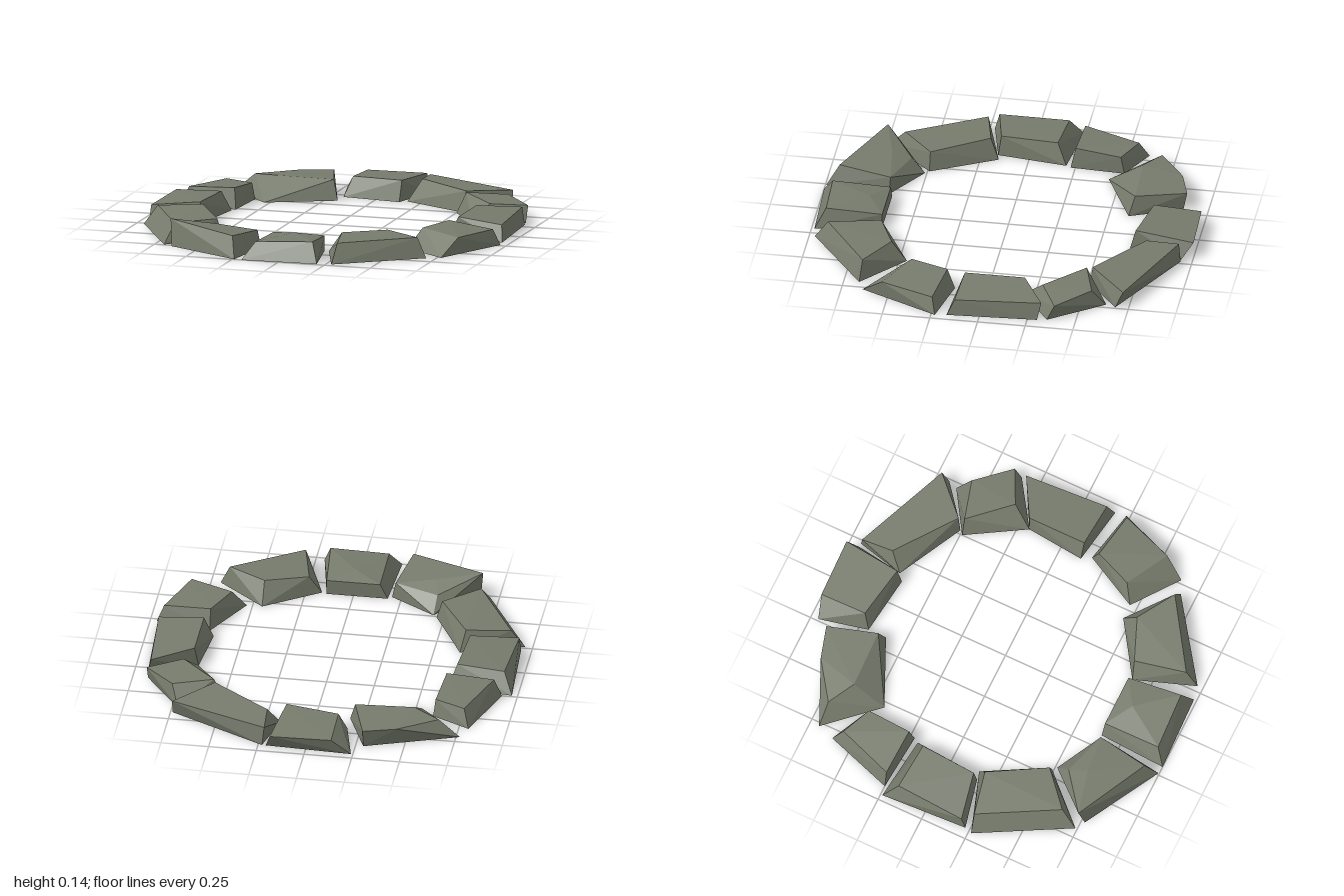
import * as THREE from 'three';
import { ConvexGeometry } from 'three/addons/geometries/ConvexGeometry.js';

const material = new THREE.MeshStandardMaterial({ color: 0x767b6c, flatShading: true });

export function createModel() {
  const ring = new THREE.Group();
  ring.name = 'stoneRing';

  // One rough-hewn block: a footprint on the ground, a top outline at the given
  // corner heights (both as x, z pairs), and optional chipped corner points.
  function stone(name, foot, top, heights, chips = []) {
    const points = chips.map((c) => new THREE.Vector3(...c));
    for (let i = 0; i < 4; i++) {
      points.push(new THREE.Vector3(foot[2 * i], 0, foot[2 * i + 1]));
      points.push(new THREE.Vector3(top[2 * i], heights[i], top[2 * i + 1]));
    }
    const mesh = new THREE.Mesh(new ConvexGeometry(points), material);
    mesh.name = name;
    ring.add(mesh);
  }

  // Back of the ring, then round by the left side
  stone('backStone',
    [-0.24, -0.96, 0.21, -0.94, 0.135, -0.66, -0.18, -0.7],
    [-0.14, -0.99, 0.18, -1, 0.14, -0.69, -0.14, -0.74], [0.09, 0.09, 0.11, 0.105]);
  stone('backLeftStone',
    [0.23, -0.94, 0.74, -0.68, 0.52, -0.51, 0.17, -0.69],
    [0.22, -0.93, 0.735, -0.72, 0.54, -0.53, 0.23, -0.76], [0.1, 0.09, 0.11, 0.11]);
  stone('leftBackStone',
    [0.72, -0.63, 0.92, -0.35, 0.68, -0.19, 0.5, -0.49],
    [0.76, -0.56, 0.92, -0.39, 0.74, -0.3, 0.55, -0.5], [0.1, 0.085, 0.1, 0.11]);
  stone('leftStone',
    [0.93, -0.3, 0.955, 0.17, 0.65, 0.12, 0.68, -0.19],
    [0.91, -0.32, 0.94, 0.13, 0.7, 0.115, 0.7, -0.2], [0.09, 0.085, 0.11, 0.11]);
  stone('leftFrontStone',
    [0.68, 0.17, 0.965, 0.23, 0.77, 0.64, 0.53, 0.46],
    [0.68, 0.21, 0.93, 0.25, 0.83, 0.53, 0.6, 0.41], [0.11, 0.085, 0.09, 0.105]);
  stone('frontLeftStone',
    [0.45, 0.46, 0.7, 0.67, 0.28, 0.97, 0.165, 0.65],
    [0.45, 0.54, 0.65, 0.66, 0.29, 0.9, 0.23, 0.63], [0.11, 0.105, 0.1, 0.1]);

  // Front of the ring, then round by the right side
  stone('frontStone',
    [-0.18, 0.64, 0.14, 0.64, 0.205, 0.985, -0.2, 1],
    [-0.14, 0.64, 0.14, 0.64, 0.165, 0.93, -0.14, 0.945], [0.08, 0.08, 0.105, 0.09],
    [[0, 0.105, 0.73]]);
  stone('frontRightStone',
    [-0.44, 0.51, -0.2, 0.66, -0.24, 0.995, -0.65, 0.77],
    [-0.45, 0.58, -0.22, 0.655, -0.27, 0.93, -0.665, 0.74], [0.08, 0.09, 0.11, 0.14],
    [[-0.43, 0.115, 0.68]]);
  stone('rightFrontStone',
    [-0.635, 0.155, -0.46, 0.49, -0.7, 0.74, -0.96, 0.265],
    [-0.66, 0.2, -0.49, 0.49, -0.67, 0.65, -0.89, 0.25], [0.11, 0.1, 0.1, 0.1]);
  stone('rightStone',
    [-0.97, -0.24, -0.63, -0.2, -0.68, 0.165, -0.945, 0.225],
    [-0.92, -0.17, -0.67, -0.15, -0.69, 0.15, -0.94, 0.2], [0.1, 0.11, 0.11, 0.09]);
  stone('rightBackStone',
    [-0.8, -0.61, -0.6, -0.51, -0.615, -0.225, -0.92, -0.25],
    [-0.77, -0.56, -0.61, -0.49, -0.63, -0.25, -0.88, -0.26], [0.09, 0.09, 0.11, 0.1]);
  stone('backRightStone',
    [-0.77, -0.7, -0.29, -0.87, -0.18, -0.6, -0.53, -0.44],
    [-0.46, -0.84, -0.29, -0.89, -0.21, -0.63, -0.52, -0.62], [0.1, 0.1, 0.105, 0.11],
    [[-0.66, 0.095, -0.7]]);

  return ring;
}
